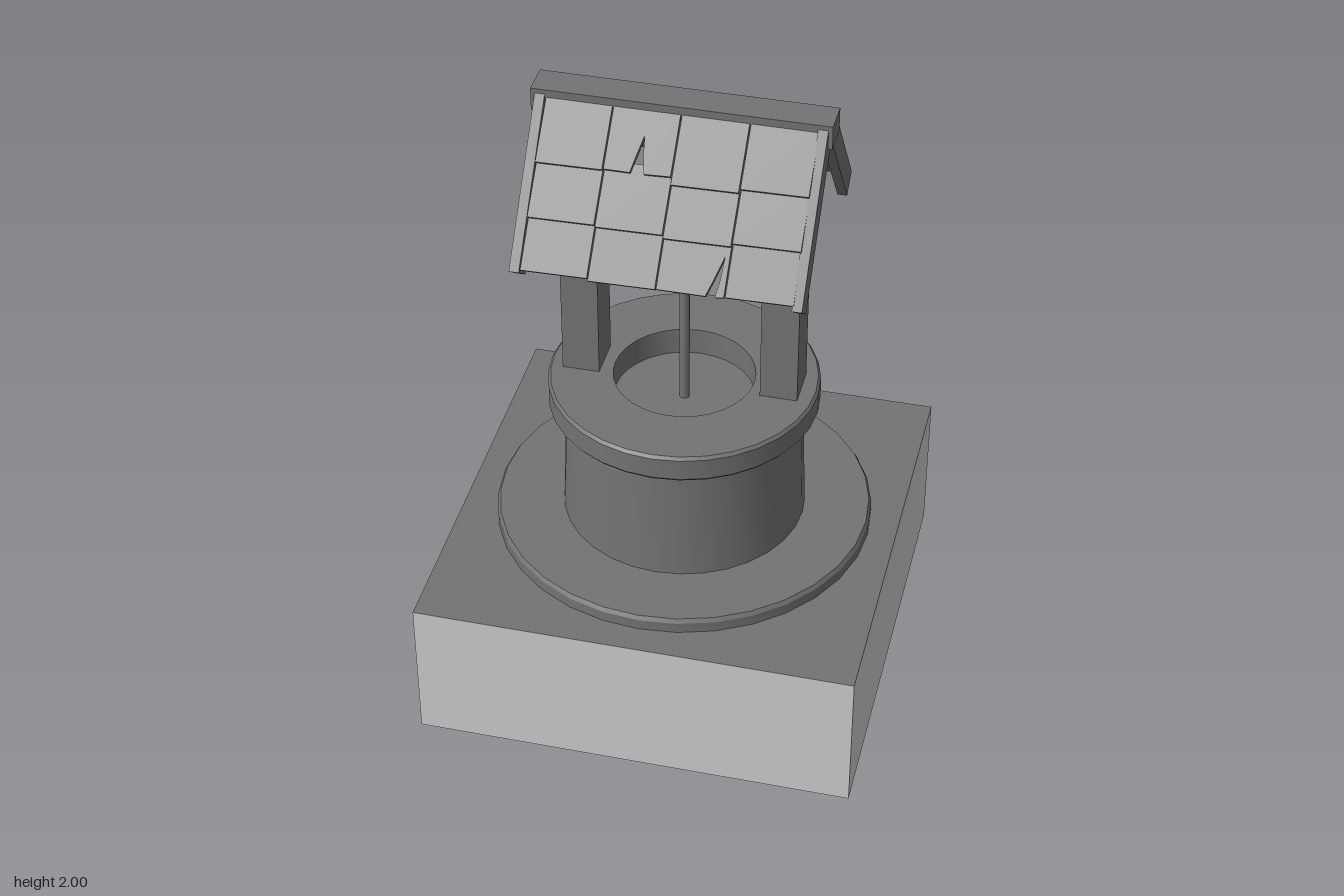
import * as THREE from 'three';
import { toCreasedNormals } from 'three/addons/utils/BufferGeometryUtils.js';

export function createModel() {
  const model = new THREE.Group();
  model.name = 'wishingWell';
  const darkGrey = new THREE.MeshStandardMaterial({ color: 0x737373 });
  darkGrey.name = 'darkGrey';
  const lightGrey = new THREE.MeshStandardMaterial({ color: 0xcccccc });
  lightGrey.name = 'lightGrey';

  const add = (parent, name, geometry, x = 0, y = 0, z = 0, material = darkGrey) => {
    const mesh = new THREE.Mesh(geometry, material);
    mesh.name = name;
    mesh.position.set(x, y, z);
    parent.add(mesh);
    return mesh;
  };
  const box = (w, h, d) => new THREE.BoxGeometry(w, h, d);
  const lathe = (points) => toCreasedNormals(
    new THREE.LatheGeometry(points.map(([r, y]) => new THREE.Vector2(r, y)), 32), 0.5);

  // Ground block: light sides, dark top
  const sides = [0, 1, 2, 3, 4, 5].map((i) => (i === 2 ? darkGrey : lightGrey));
  add(model, 'groundBlock', box(1.372, 0.477, 1.372), 0, 0.2385, 0, sides);

  // Stonework
  add(model, 'footing', lathe([[0.595, 0.477], [0.595, 0.512], [0.587, 0.525], [0, 0.525]]), 0.003);
  add(model, 'wellWall', lathe([[0.383, 0.525], [0.368, 0.925], [0, 0.925]]), 0.003);
  add(model, 'rim', lathe([[0.22, 0.925], [0.413, 0.925], [0.421, 0.935], [0.421, 1.005],
    [0.413, 1.015], [0.22, 1.015], [0.22, 0.925]]), 0.003);

  // Posts, rope and ridge beam
  const zMid = -0.01;
  for (const s of [1, -1]) {
    add(model, s > 0 ? 'leftPost' : 'rightPost', box(0.116, 0.93, 0.14), s * 0.311, 1.475, zMid);
  }
  add(model, 'rope', new THREE.CylinderGeometry(0.016, 0.016, 1.02, 10), 0.003, 1.435, 0);
  add(model, 'ridgeBeam', box(0.89, 0.075, 0.105), 0, 1.9625, zMid);

  // Shingle rows: distances down the slope, and the tip offset for each column
  const rows = [
    { top: 0.0, tip: 0.2, jitter: [0, -0.006, 0.014, 0] },
    { top: 0.165, tip: 0.36, jitter: [0, 0.002, 0.008, -0.004] },
    { top: 0.32, tip: 0.513, jitter: [0, 0.004, 0, -0.004] },
  ];
  // Cracks in the lower edge, as [x, height] points
  const cracks = {
    '0-1': [[-0.118, 0], [-0.108, 0.045], [-0.092, 0.112], [-0.086, 0.05], [-0.076, 0]],
    '2-2': [[0.15, 0], [0.168, 0.05], [0.19, 0.12], [0.186, 0.05], [0.178, 0]],
  };

  function shingle(row, r, col, mirror) {
    const x0 = -0.4 + col * 0.202 + 0.002;
    const x1 = x0 + 0.198;
    const tip = -(row.tip + row.jitter[col]);
    const crack = (cracks[`${r}-${col}`] || []).map(([x, h]) => [x, tip + h]);
    const outline = [[x0, tip], ...crack, [x1, tip + 0.003], [x1, -row.top], [x0, -row.top]];
    const shape = new THREE.Shape(outline.map(([x, y]) => new THREE.Vector2(x * mirror, y + row.top)));
    return new THREE.ExtrudeGeometry(shape, { depth: 0.02, bevelEnabled: false });
  }

  // Each half: local y runs up the slope and local z points out of the roof
  for (const s of [1, -1]) {
    const half = new THREE.Group();
    half.name = s > 0 ? 'frontRoofHalf' : 'backRoofHalf';
    half.position.z = zMid;
    half.rotation.y = s > 0 ? 0 : Math.PI;
    model.add(half);

    const slope = new THREE.Group();
    slope.name = 'roofSlope';
    slope.position.set(0, 1.985, 0.053);
    slope.rotation.x = -0.665;
    half.add(slope);

    rows.forEach((row, r) => {
      for (let col = 0; col < 4; col++) {
        const plank = add(slope, 'shingle', shingle(row, r, col, s), 0, -row.top, -0.027);
        plank.rotation.x = r < 2 ? -0.1 : -0.06;
      }
    });

    for (const side of [1, -1]) {
      add(slope, 'rafter', box(0.03, 0.525, 0.08), side * 0.417, -0.2575, -0.04);
      const brace = add(half, 'brace', box(0.072, 0.3, 0.075), side * 0.312, 1.52, 0.145);
      brace.rotation.x = Math.PI / 4;
    }
  }
  return model;
}
